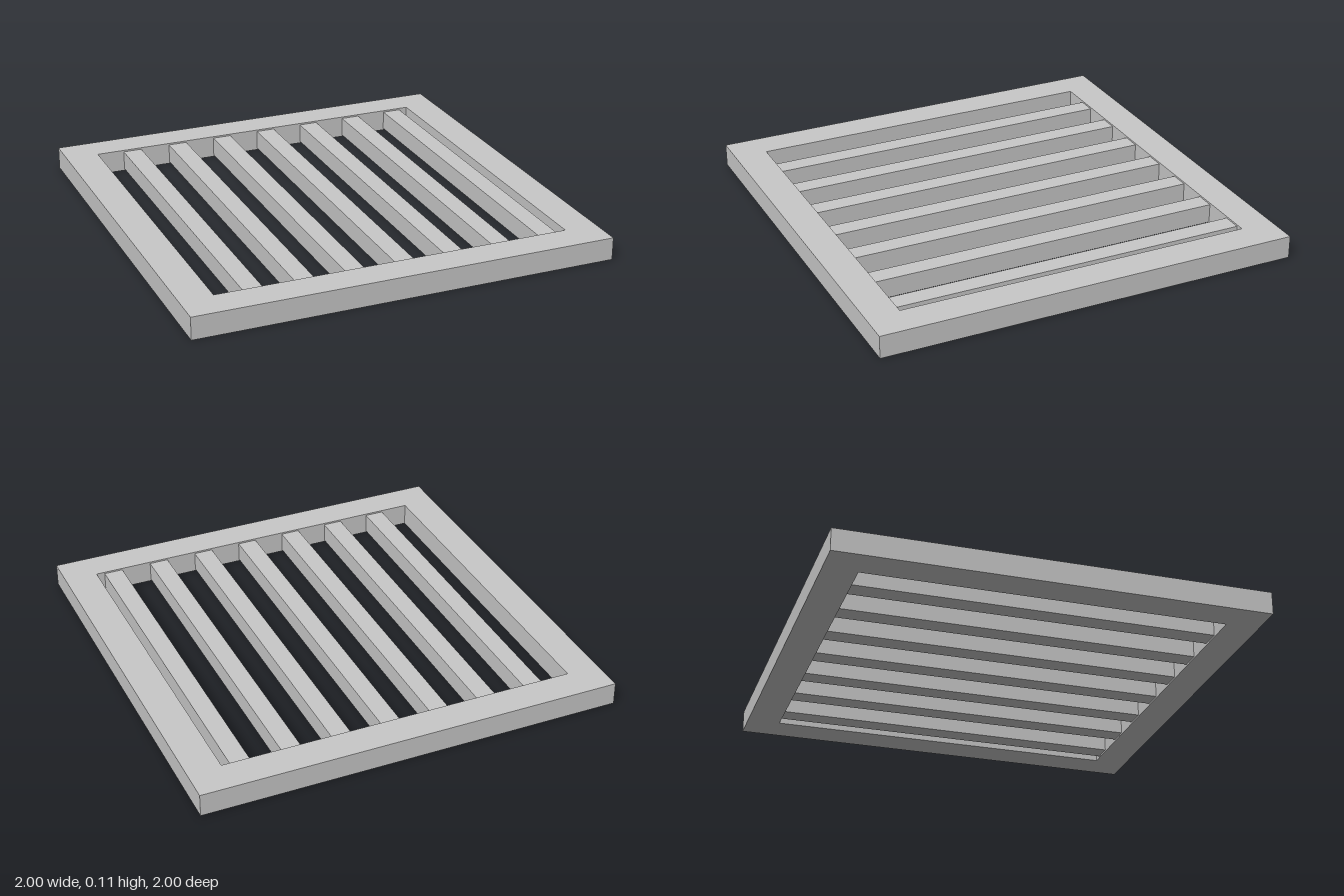
import * as THREE from 'three';

const HEIGHT = 0.107;
const INNER = 0.843; // half-width of the opening
const BAR = 0.091; // square bar section

// Square outline, wound counter-clockwise
function square(target, half) {
  target.moveTo(-half, -half);
  target.lineTo(half, -half);
  target.lineTo(half, half);
  target.lineTo(-half, half);
  target.closePath();
  return target;
}

export function createModel() {
  const group = new THREE.Group();
  group.name = 'grate';
  const metal = new THREE.MeshStandardMaterial({ color: 0xc8c8c8 });
  metal.name = 'light grey metal';

  // Square frame with one large opening, laid flat
  const outline = square(new THREE.Shape(), 1);
  outline.holes.push(square(new THREE.Path(), INNER));
  const frameGeometry = new THREE.ExtrudeGeometry(outline, { depth: HEIGHT, bevelEnabled: false });
  frameGeometry.rotateX(-Math.PI / 2);
  const frame = new THREE.Mesh(frameGeometry, metal);
  frame.name = 'frame';
  group.add(frame);

  // Seven evenly spaced bars, set slightly off centre in the opening
  const bars = new THREE.Group();
  bars.name = 'bars';
  const barGeometry = new THREE.BoxGeometry(BAR, BAR, INNER * 2);
  for (let i = 0; i < 7; i++) {
    const bar = new THREE.Mesh(barGeometry, metal);
    bar.name = `bar${i + 1}`;
    bar.position.set(-0.664 + i * 0.2367, HEIGHT / 2, 0);
    bars.add(bar);
  }
  group.add(bars);

  return group;
}
